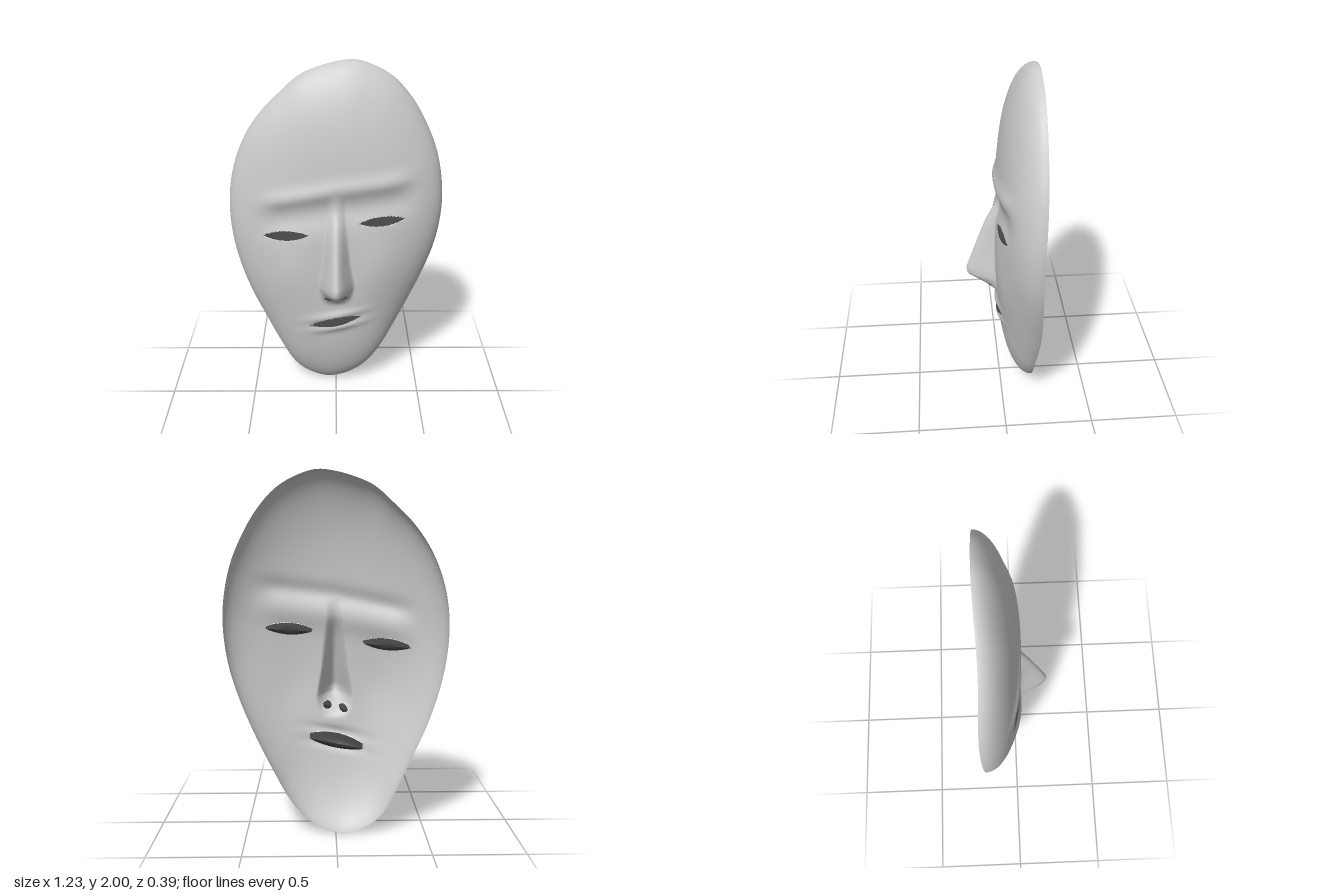
import * as THREE from 'three';

const { smoothstep, lerp } = THREE.MathUtils;
const CENTRE = new THREE.Vector2(0, 1);

// Lopsided egg outline, counter-clockwise from the crown
const OUTLINE = [
  [0.08, 2], [-0.18, 1.93], [-0.31, 1.825], [-0.415, 1.72], [-0.505, 1.59], [-0.57, 1.44],
  [-0.605, 1.29], [-0.615, 1.13], [-0.6, 0.96], [-0.565, 0.8], [-0.505, 0.62], [-0.43, 0.45],
  [-0.345, 0.265], [-0.265, 0.12], [-0.19, 0.05], [-0.055, 0], [0.06, 0.025], [0.165, 0.09],
  [0.26, 0.205], [0.35, 0.375], [0.44, 0.565], [0.525, 0.77], [0.585, 0.97], [0.61, 1.18],
  [0.6, 1.34], [0.565, 1.5], [0.505, 1.645], [0.42, 1.79], [0.315, 1.905], [0.19, 1.975],
];

// Nose ridge: [y, height above the face, half width]
const NOSE = [
  [0.62, 0, 0.08], [0.65, 0.02, 0.09], [0.69, 0.08, 0.1], [0.74, 0.16, 0.105], [0.78, 0.165, 0.1],
  [0.9, 0.12, 0.08], [1, 0.085, 0.07], [1.1, 0.05, 0.06], [1.2, 0.02, 0.05], [1.3, 0, 0.05],
];

// Lens-shaped openings: centre, half length, half height, tilt, depth of the pocket
const OPENINGS = [
  { name: 'rightEye', x: -0.285, y: 1.053, a: 0.13, b: 0.026, tilt: 0.07, depth: 0.12 },
  { name: 'leftEye', x: 0.257, y: 1.142, a: 0.13, b: 0.026, tilt: 0.08, depth: 0.12 },
  { name: 'mouth', x: -0.005, y: 0.499, a: 0.155, b: 0.027, tilt: 0.21, depth: 0.12 },
  { name: 'rightNostril', x: -0.047, y: 0.672, a: 0.026, b: 0.016, tilt: 0.3, depth: 0.05 },
  { name: 'leftNostril', x: 0.044, y: 0.688, a: 0.026, b: 0.016, tilt: 0.3, depth: 0.05 },
];

const bump = (d, w) => Math.exp(-(d * d) / (w * w));

function toLocal(o, x, y) {
  const c = Math.cos(o.tilt), s = Math.sin(o.tilt), dx = x - o.x, dy = y - o.y;
  return [dx * c + dy * s, dy * c - dx * s];
}
function toFace(o, u, v) {
  const c = Math.cos(o.tilt), s = Math.sin(o.tilt);
  return [o.x + u * c - v * s, o.y + u * s + v * c];
}
const halfHeight = (o, u) => o.b * Math.max(0, 1 - (u / o.a) ** 2);
function inside(o, x, y) {
  const [u, v] = toLocal(o, x, y);
  return Math.abs(u) < o.a && Math.abs(v) < halfHeight(o, u);
}

function noseHeight(x, y) {
  for (let i = 0; i < NOSE.length - 1; i++) {
    const p = NOSE[i], q = NOSE[i + 1];
    if (y < p[0] || y > q[0]) continue;
    const k = (y - p[0]) / (q[0] - p[0]);
    const w = lerp(p[2], q[2], k), d = Math.min(1, Math.abs(x) / w);
    return lerp(p[1], q[1], k) * Math.cos(d * Math.PI / 2) ** 1.4;
  }
  return 0;
}

// Carved relief added to the dome: brows, sockets, cheeks, nose and lips
function relief(x, y) {
  const brow = 1.325 + (x < 0 ? 0.2 : 0.13) * x;
  const span = 1 - smoothstep(Math.abs(x), 0.3, 0.5);
  let z = noseHeight(x, y);
  z += span * (0.017 * bump(y - brow, 0.05) - 0.02 * bump(y - brow + 0.12, 0.08));
  for (const side of [-1, 1]) z += 0.022 * bump(x - side * 0.24, 0.16) * bump(y - 0.82, 0.25);
  const [u, v] = toLocal(OPENINGS[2], x, y);
  z += 0.016 * bump(u, 0.15) * (bump(v - 0.04, 0.025) + bump(v + 0.04, 0.025));
  return z;
}

// Radial grid over the outline, raised to a dome, with the openings cut out
function faceSheet(edge) {
  const n = edge.length, rings = 110, pos = [], index = [];
  const add = (x, y, t) => pos.push(x, y, dome(x, y, t));
  add(CENTRE.x, CENTRE.y, 0);
  for (let r = 1; r <= rings; r++) {
    const t = Math.sin((r / rings) * Math.PI / 2);
    for (const e of edge) add(lerp(CENTRE.x, e.x, t), lerp(CENTRE.y, e.y, t), t);
  }
  const tri = (a, b, c) => {
    const x = (pos[a * 3] + pos[b * 3] + pos[c * 3]) / 3;
    const y = (pos[a * 3 + 1] + pos[b * 3 + 1] + pos[c * 3 + 1]) / 3;
    if (!OPENINGS.some((o) => inside(o, x, y))) index.push(a, b, c);
  };
  for (let i = 0; i < n; i++) {
    const j = (i + 1) % n;
    tri(0, 1 + i, 1 + j);
    for (let r = 0; r < rings - 1; r++) {
      const a = 1 + r * n, b = a + n;
      tri(a + i, b + i, b + j);
      tri(a + i, b + j, a + j);
    }
  }
  // Slide stray vertices onto the lips of the openings
  for (let k = 0; k < pos.length; k += 3) {
    for (const o of OPENINGS) {
      if (!inside(o, pos[k], pos[k + 1])) continue;
      const [u, v] = toLocal(o, pos[k], pos[k + 1]);
      [pos[k], pos[k + 1]] = toFace(o, u, Math.sign(v || 1) * halfHeight(o, u));
    }
  }
  return meshData(pos, index);
}

function dome(x, y, t) {
  const fade = 1 - smoothstep(t, 0.8, 1);
  const rim = -0.19 + 0.008 * t * Math.sin(5 * y + 4 * x);
  return rim + 0.215 * Math.sqrt(Math.max(0, 1 - t ** 2.4)) + fade * relief(x, y);
}

// Fraction of the way from the centre to the outline at a point of the face
function reach(edge, x, y) {
  const p = new THREE.Vector2(x, y).sub(CENTRE), d = new THREE.Vector2();
  let best = -2, t = 0;
  for (const e of edge) {
    d.copy(e).sub(CENTRE);
    const c = d.dot(p) / (d.length() * p.length());
    if (c > best) { best = c; t = p.length() / d.length(); }
  }
  return t;
}

// Dark pocket sunk straight back from an opening and closed at its end
function pocket(o, edge) {
  const n = 40, pos = [], index = [];
  for (const [scale, depth] of [[1, -0.001], [0.97, o.depth], [0, o.depth]]) {
    for (let i = 0; i < n; i++) {
      const a = (i / n) * Math.PI * 2, u = o.a * Math.cos(a);
      const v = Math.sign(Math.sin(a)) * halfHeight(o, u);
      const [fx, fy] = toFace(o, u, v);
      const [x, y] = toFace(o, u * scale, v * scale);
      const z = scale ? dome(fx, fy, reach(edge, fx, fy)) : dome(o.x, o.y, reach(edge, o.x, o.y));
      pos.push(x, y, z - depth);
    }
  }
  for (let r = 0; r < 2; r++) {
    for (let i = 0; i < n; i++) {
      const j = (i + 1) % n, a = r * n, b = a + n;
      index.push(a + i, a + j, b + j, a + i, b + j, b + i);
    }
  }
  return meshData(pos, index);
}

function meshData(pos, index) {
  const g = new THREE.BufferGeometry();
  g.setAttribute('position', new THREE.Float32BufferAttribute(pos, 3));
  g.setIndex(index);
  g.computeVertexNormals();
  return g;
}

export function createModel() {
  const group = new THREE.Group();
  group.name = 'mask';
  const grey = new THREE.MeshStandardMaterial({ color: 0xcccccc, side: THREE.DoubleSide });
  const dark = new THREE.MeshStandardMaterial({ color: 0x444444, side: THREE.DoubleSide });

  const curve = new THREE.CatmullRomCurve3(OUTLINE.map(([x, y]) => new THREE.Vector3(x, y, 0)), true);
  const edge = curve.getSpacedPoints(240).slice(0, -1).map((p) => new THREE.Vector2(p.x, Math.max(0, p.y)));

  const face = new THREE.Mesh(faceSheet(edge), grey);
  face.name = 'face';
  group.add(face);

  for (const o of OPENINGS) {
    const mesh = new THREE.Mesh(pocket(o, edge), dark);
    mesh.name = o.name;
    group.add(mesh);
  }
  return group;
}
